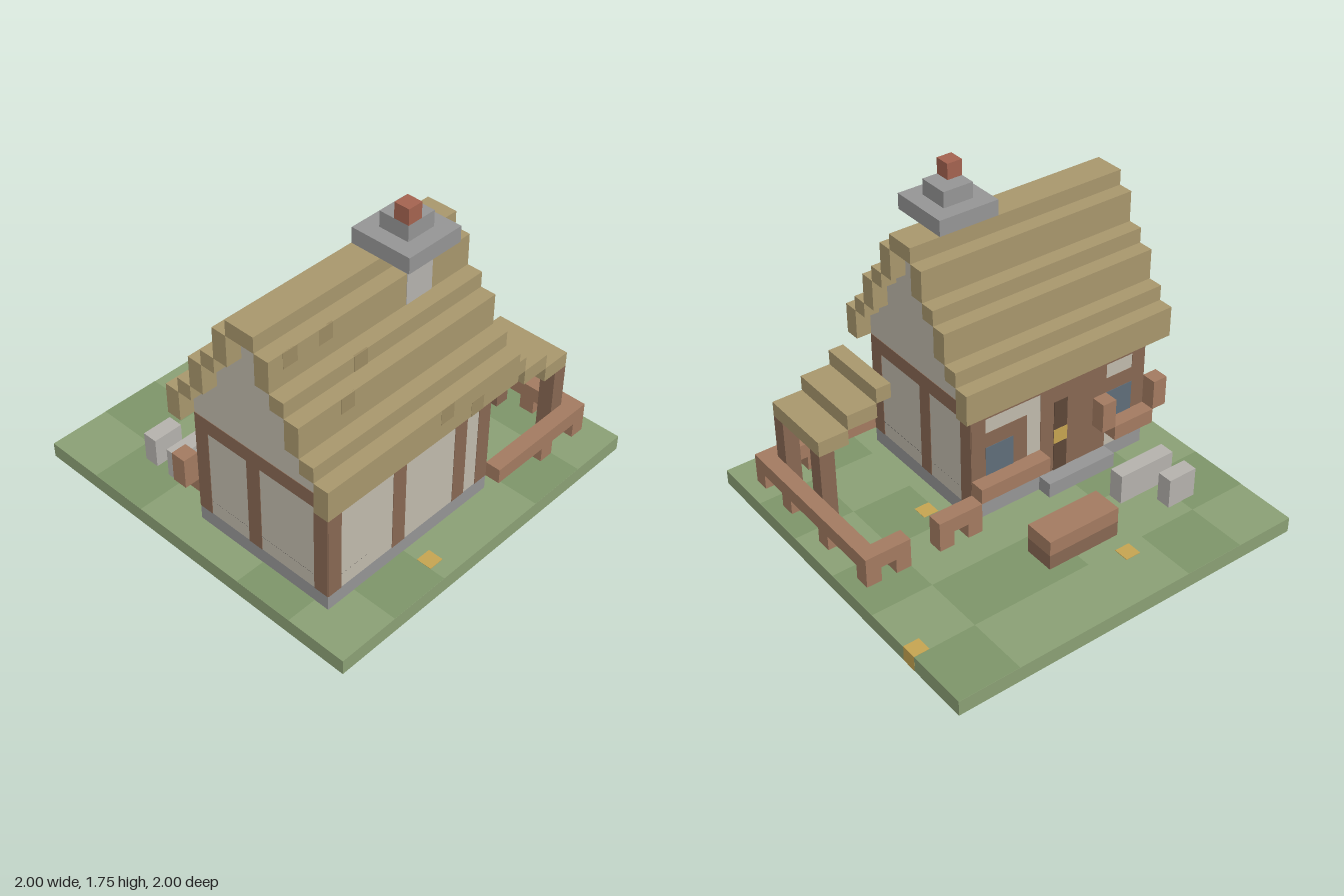
import * as THREE from 'three';

const U = 1 / 12; // one block
const C = {
  grass: 0x8a9f74, grassDark: 0x7d9469, flower: 0xc4a350, wood: 0x876752, fence: 0xa27a60, dark: 0x5c4637,
  plaster: 0xbfb9ab, stone: 0x949494, paleStone: 0xb4b1ac, thatch: 0xa7966c, thatchDark: 0x9b8a62,
  brick: 0xa3624f, glass: 0x5f6d78, floor: 0x4a4646,
};
const mats = {};
function mat(key, open) {
  const id = key + (open ? 'Open' : '');
  mats[id] ??= new THREE.MeshStandardMaterial({ color: C[key], side: open ? THREE.DoubleSide : THREE.FrontSide });
  return mats[id];
}

export function createModel() {
  const root = new THREE.Group();
  const group = (name) => {
    const g = new THREE.Group();
    g.name = name;
    root.add(g);
    return g;
  };

  // Block from min to max corner; skipped faces (0..5: +x -x +y -y +z -z) are left open
  function box(parent, name, color, x0, x1, y0, y1, z0, z1, skip = []) {
    const geo = new THREE.BoxGeometry((x1 - x0) * U, (y1 - y0) * U, (z1 - z0) * U);
    if (skip.length) {
      const idx = Array.from(geo.index.array).filter((_, i) => !skip.includes(Math.floor(i / 6)));
      geo.setIndex(idx);
      geo.clearGroups();
    }
    const m = new THREE.Mesh(geo, mat(color, skip.length > 0));
    m.position.set((x0 + x1) / 2 * U, (y0 + y1) / 2 * U, (z0 + z1) / 2 * U);
    m.name = name;
    parent.add(m);
    return m;
  }

  // Blocks standing on the lawn are open below, above a matching hole
  const holes = [];
  function rooted(parent, name, color, x0, x1, y1, z0, z1) {
    holes.push([x0, x1, z0, z1]);
    box(parent, name, color, x0, x1, 1, y1, z0, z1, [3]);
  }

  // House walls: stone footing, plaster body, raised floor
  const house = group('house');
  holes.push([-10, 3, -1, 9]);
  box(house, 'footing', 'stone', -10, 3, 1, 2, -1, 9, [2, 3]);
  box(house, 'walls', 'plaster', -10, 3, 2, 9, -1, 9, [3]);
  box(house, 'floor', 'floor', -10, 3, 2.98, 3, -1, 9);
  box(house, 'hearthBase', 'paleStone', -1, 1, 2.95, 2.97, 4, 6);

  // Stepped gable and thatch, mirrored about the ridge at z = 4
  const roof = group('roof');
  const steps = [[6, 9, 11], [5, 11, 12], [4, 12, 14], [3, 14, 15], [2, 15, 17]];
  for (const [d, y0, y1] of steps) {
    box(house, 'gable', 'plaster', -10, 3, y0, y1, 4 - d + 1, 4 + d - 1);
    box(roof, 'thatchStep', 'thatch', -11, 4, y0, y1, 4 + d - 1, 4 + d);
    box(roof, 'thatchStep', 'thatch', -11, 4, y0, y1, 4 - d, 4 - d + 1);
  }
  box(roof, 'ridge', 'thatch', -11, 4, 17, 18, 3, 5);
  // Weathered thatch patches
  for (const [x, y, z] of [[-10, 16, 5], [-7.5, 16, 5], [-6, 14, 6], [-2.5, 10, 9], [0, 9, 9], [-8, 13, 7]])
    box(roof, 'thatchPatch', 'thatchDark', x, x + 1, y, y + 1, z + 0.9, z + 1.02);

  // Timber frame, flush with the plaster
  const frame = group('timberFrame');
  const e = 0.03;
  const onBack = (name, c, x0, x1, y0, y1, o = e) => box(frame, name, c, x0, x1, y0, y1, -1 - o, -0.9);
  for (const [x0, x1] of [[-10, -9], [-5, -4], [0, 1], [2, 3]])
    box(frame, 'frontPost', 'wood', x0, x1, 2, 8, 8.9, 9 + e);
  box(frame, 'frontBeam', 'wood', -10, 3, 8, 9, 8.9, 9 + e);
  for (const [x0, x1] of [[-10 - e, -9.9], [2.9, 3 + e]]) {
    for (const z of [-1, 3, 8]) box(frame, 'sidePost', 'wood', x0, x1, 2, 8, z, z + 1);
    box(frame, 'sideBeam', 'wood', x0, x1, 8, 9, -1, 9);
  }
  for (const x of [-10, -7, -3, 2]) onBack('backPost', 'wood', x, x + 1, 2, 8);
  onBack('backBeam', 'wood', -10, 3, 8, 9);

  // Door and step
  onBack('door', 'wood', -6, -3, 2, 8);
  onBack('doorPanel', 'dark', -4, -3, 2, 7, e * 2);
  onBack('doorHandle', 'flower', -4, -3, 4, 5, e * 3);
  box(house, 'doorstep', 'stone', -7, -2, 1, 2, -2, -1);

  // Back windows with surrounds, sills and shutters
  const windows = group('backWindows');
  for (const x of [-9, 0]) {
    onBack('windowSurround', 'wood', x - 1, x + 3, 3, 7);
    onBack('windowPane', 'glass', x, x + 2, 4, 6, e * 2);
  }
  box(windows, 'sill', 'fence', -10, -7, 3, 4, -2, -1);
  box(windows, 'sill', 'fence', -2, 3, 3, 4, -2, -1);
  for (const x of [-11, -7]) box(windows, 'shutter', 'fence', x, x + 1, 4, 6, -2, -1);

  // Chimney
  const chimney = group('chimney');
  box(chimney, 'shaft', 'paleStone', -1, 1, 14.5, 18, 4, 6 + e);
  box(chimney, 'slab', 'stone', -2, 2, 18, 19, 3, 7);
  box(chimney, 'cap', 'stone', -1, 1, 19, 20, 4, 6);
  box(chimney, 'flue', 'brick', -1, 0, 20, 21, 5, 6);

  // Side porch
  const porch = group('porch');
  for (const [x0, x1, y] of [[5, 6, 8], [6, 8, 7], [8, 10, 6]])
    box(porch, 'porchRoof', 'thatch', x0, x1, y, y + 1, 4, 9);
  for (const z of [4, 8]) rooted(porch, 'porchPost', 'wood', 9, 10, 6, z, z + 1);

  // Fence around the side yard
  const fence = group('fence');
  for (const [x0, x1, z0, z1] of [[3, 10, 9, 10], [10, 11, -2, 10], [8, 10, -2, -1], [3, 6, -2, -1]])
    box(fence, 'rail', 'fence', x0, x1, 2, 3, z0, z1);
  for (const [x, z] of [[7, 9], [10, 9], [10, 6], [10, 2], [10, -2], [8, -2], [5, -2], [3, -2]])
    rooted(fence, 'foot', 'fence', x, x + 1, 2, z, z + 1);

  // Trough and stones in the back yard
  const yard = group('yard');
  rooted(yard, 'trough', 'wood', -3, 2, 2, -7, -5);
  box(yard, 'troughTop', 'fence', -3, 2, 2, 3, -7, -5);
  rooted(yard, 'stone', 'paleStone', -9, -7, 3, -7, -6);
  rooted(yard, 'stone', 'paleStone', -9, -5, 3, -5, -4);

  // Lawn: open-bottomed slab with holes under everything rooted in it
  const lawn = group('lawn');
  box(lawn, 'lawnEdge', 'grass', -12, 12, 0, 1, -12, 12, [2, 3]);
  const rect = (P, x0, x1, z0, z1) => {
    const p = new P();
    p.moveTo(x0 * U, -z0 * U);
    p.lineTo(x1 * U, -z0 * U);
    p.lineTo(x1 * U, -z1 * U);
    p.lineTo(x0 * U, -z1 * U);
    p.closePath();
    return p;
  };
  const flat = (shape, name, color, y, open) => {
    const m = new THREE.Mesh(new THREE.ShapeGeometry(shape).rotateX(-Math.PI / 2), mat(color, open));
    m.position.y = y * U;
    m.name = name;
    lawn.add(m);
  };
  const top = rect(THREE.Shape, -12, 12, -12, 12);
  const i = 0.02;
  for (const [x0, x1, z0, z1] of holes) top.holes.push(rect(THREE.Path, x0 + i, x1 - i, z0 + i, z1 - i));
  flat(top, 'lawnTop', 'grass', 1, true);
  // Darker grass tiles
  for (const [x, z] of [[-8, -12], [8, -12], [-12, -8], [0, -8], [4, -8], [-8, -4], [8, -4], [4, 0], [-12, 4], [8, 4], [-8, 8], [4, 8]])
    flat(rect(THREE.Shape, x, x + 4, z, z + 4), 'grassTile', 'grassDark', 1.02);
  // Flowers
  for (const [x, z] of [[-3, -9], [11, -8], [4, 1], [-4, 10]])
    box(lawn, 'flower', 'flower', x, x + 1 + 0.01, 0.01, 1.04, z, z + 1);

  return root;
}
